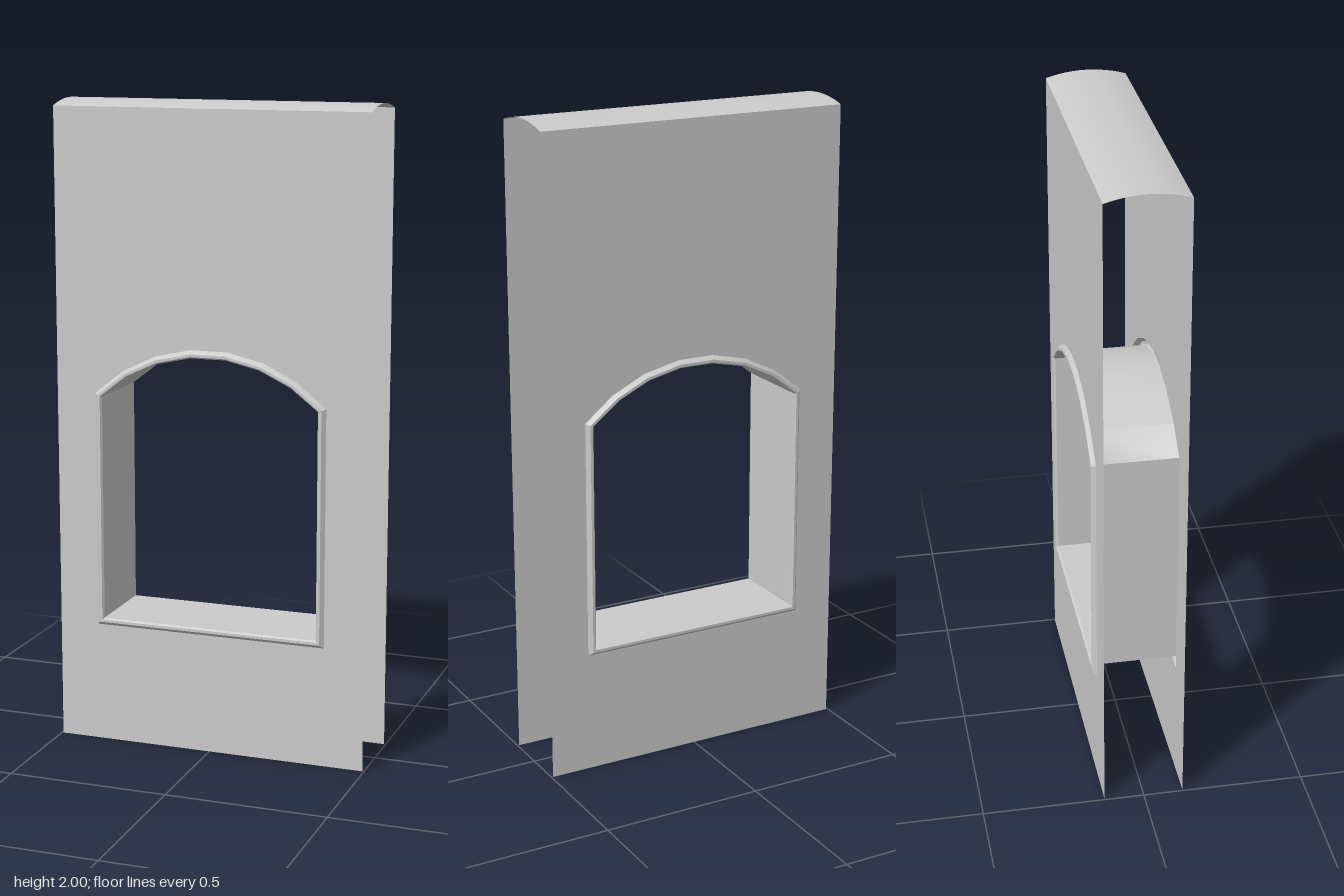
import * as THREE from 'three';
import { toCreasedNormals } from 'three/addons/utils/BufferGeometryUtils.js';

const HALF_W = 0.495, HALF_D = 0.123, EDGE_Y = 1.981;
const OPEN_W = 0.345, OPEN_BOTTOM = 0.4, ARCH_R = 0.495, ARCH_Y = 0.748, ARCH_SEGS = 7;

const material = new THREE.MeshStandardMaterial({ color: 0xcccccc, side: THREE.DoubleSide });

// Counter-clockwise outline of the arched opening, grown outwards by d
function archOutline(d) {
  const w = OPEN_W + d, r = ARCH_R + d, half = Math.asin(w / r);
  const pts = [new THREE.Vector2(-w, OPEN_BOTTOM - d), new THREE.Vector2(w, OPEN_BOTTOM - d)];
  for (let i = 0; i <= ARCH_SEGS; i++) {
    const a = half * (1 - (2 * i) / ARCH_SEGS);
    pts.push(new THREE.Vector2(r * Math.sin(a), ARCH_Y + r * Math.cos(a)));
  }
  return pts;
}

// Surface joining successive rows of points
function loft(rows, crease) {
  const n = rows[0].length, index = [];
  for (let r = 0; r < rows.length - 1; r++) {
    for (let i = 0; i < n - 1; i++) {
      const a = r * n + i, b = a + n;
      index.push(a, a + 1, b, a + 1, b + 1, b);
    }
  }
  const g = new THREE.BufferGeometry().setFromPoints(rows.flat());
  g.setIndex(index);
  return toCreasedNormals(g, crease);
}

export function createModel() {
  const group = new THREE.Group();
  const add = (name, geometry) => {
    const mesh = new THREE.Mesh(geometry, material);
    mesh.name = name;
    group.add(mesh);
    return mesh;
  };

  // Front and back wall sheets with the arched hole
  const shape = new THREE.Shape([
    new THREE.Vector2(-HALF_W, 0), new THREE.Vector2(HALF_W, 0),
    new THREE.Vector2(HALF_W, EDGE_Y), new THREE.Vector2(-HALF_W, EDGE_Y),
  ]);
  shape.holes.push(new THREE.Path(archOutline(0.024).reverse()));
  const panel = new THREE.ShapeGeometry(shape);
  add('frontPanel', panel).position.z = HALF_D;
  const back = add('backPanel', panel);
  back.position.z = -HALF_D;
  back.rotation.y = Math.PI;

  // Shallow curved cap, open at both ends
  const rise = 2 - EDGE_Y;
  const capR = (HALF_D ** 2 + rise ** 2) / (2 * rise);
  const capHalf = Math.asin(HALF_D / capR);
  const capRows = [];
  for (let i = 0; i <= 12; i++) {
    const a = capHalf * (1 - i / 6);
    const y = 2 - capR + capR * Math.cos(a), z = capR * Math.sin(a);
    capRows.push([new THREE.Vector3(-HALF_W, y, z), new THREE.Vector3(HALF_W, y, z)]);
  }
  add('topCap', loft(capRows, 0.8));

  // Opening lining with a raised bevelled lip on each side: [outward offset, z]
  const lip = [[0.024, HALF_D], [0.013, 0.136], [0.005, 0.136], [0, 0.129]];
  const profile = [...lip, ...lip.map(([d, z]) => [d, -z]).reverse()];
  const rows = profile.map(([d, z]) => {
    const pts = archOutline(d).map((p) => new THREE.Vector3(p.x, p.y, z));
    return [...pts, pts[0].clone()];
  });
  // rows run front to back, reversed so the faces look into the opening
  add('windowLining', loft(rows.reverse().map((r) => r.reverse()), 0.6));

  // Turn the lining faces towards the opening
  const lining = group.getObjectByName('windowLining').geometry;
  const p = lining.attributes.position, nrm = lining.attributes.normal;
  let facing = 0;
  for (let i = 0; i < p.count; i++) facing += nrm.getX(i) * p.getX(i);
  if (facing > 0) {
    for (let i = 0; i < p.count; i += 3) {
      for (const attr of [p, nrm]) {
        const v1 = new THREE.Vector3().fromBufferAttribute(attr, i + 1);
        const v2 = new THREE.Vector3().fromBufferAttribute(attr, i + 2);
        attr.setXYZ(i + 1, v2.x, v2.y, v2.z);
        attr.setXYZ(i + 2, v1.x, v1.y, v1.z);
      }
    }
    for (let i = 0; i < nrm.count; i++) nrm.setXYZ(i, -nrm.getX(i), -nrm.getY(i), -nrm.getZ(i));
  }
  return group;
}
